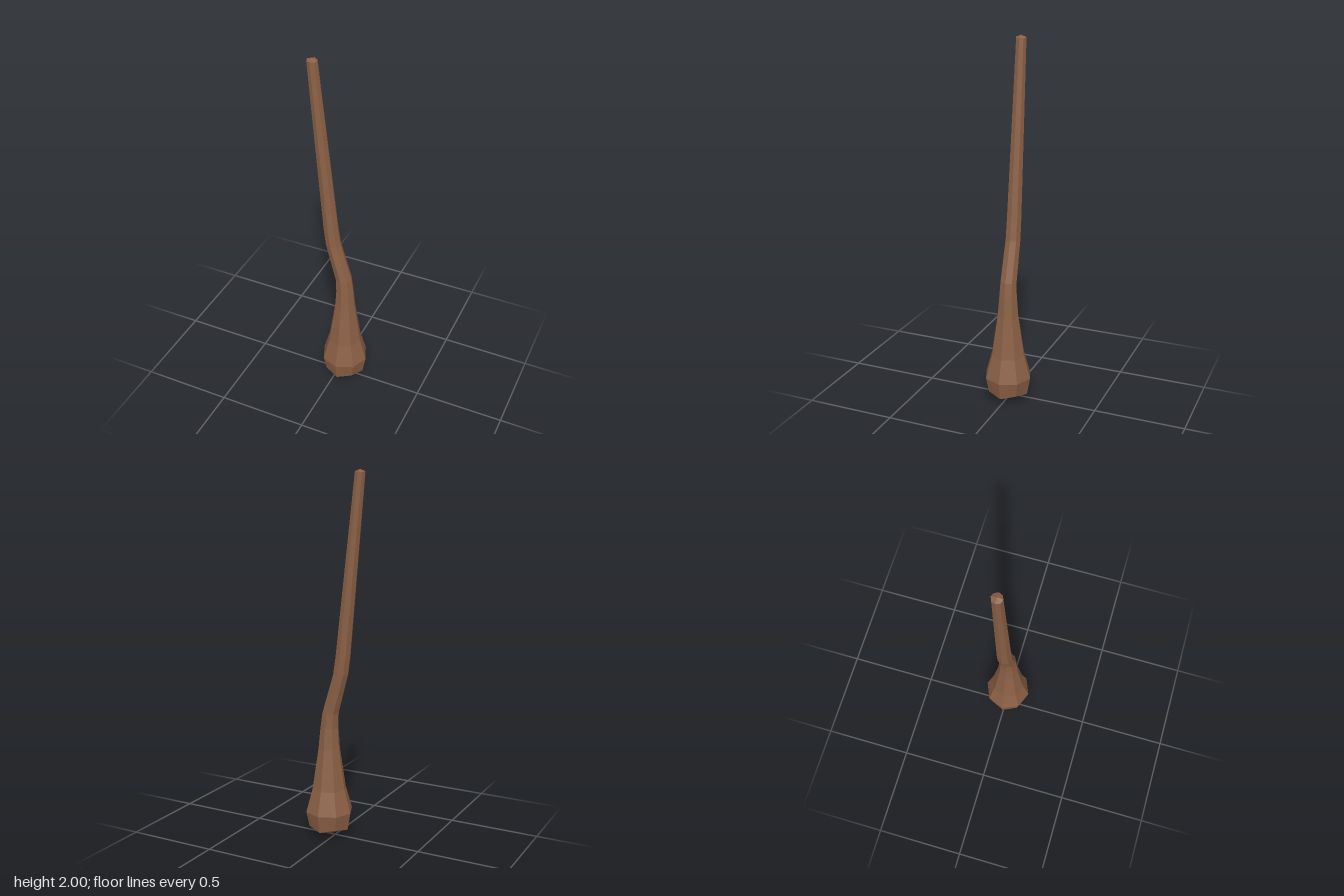
import * as THREE from 'three';

// Cross-sections from bottom to top: height, centre x, radius, extra height of the diagonal corners
const RINGS = [
  [0, 0.038, 0, 0],
  [0.042, 0.038, 0.115, 0.016],
  [0.14, 0.038, 0.132, 0],
  [0.27, 0.038, 0.096, 0],
  [0.5, 0.038, 0.061, 0],
  [0.62, 0.036, 0.051, 0],
  [0.7, 0.029, 0.047, 0],
  [0.92, -0.033, 0.043, 0],
  [1.02, -0.047, 0.042, 0],
  [1.99, -0.143, 0.029, -0.005],
  [2, -0.143, 0, 0],
];
const SIDES = 8;

// Eight-sided skin through the cross-sections; the end rings close to a point
function loft(rings) {
  const positions = [];
  const index = [];
  for (const [y, cx, r, lift] of rings) {
    for (let i = 0; i < SIDES; i++) {
      const a = (i / SIDES) * Math.PI * 2;
      positions.push(cx + r * Math.cos(a), y + (i % 2 ? lift : 0), r * Math.sin(a));
    }
  }
  for (let k = 0; k < rings.length - 1; k++) {
    for (let i = 0; i < SIDES; i++) {
      const j = (i + 1) % SIDES;
      const a = k * SIDES + i, b = k * SIDES + j;
      const c = a + SIDES, d = b + SIDES;
      if (rings[k + 1][2] > 0) index.push(a, c, d);
      if (rings[k][2] > 0) index.push(a, rings[k + 1][2] > 0 ? d : c, b);
    }
  }
  const geometry = new THREE.BufferGeometry();
  geometry.setAttribute('position', new THREE.Float32BufferAttribute(positions, 3));
  geometry.setIndex(index);
  const flat = geometry.toNonIndexed();
  flat.computeVertexNormals();
  return flat;
}

export function createModel() {
  const group = new THREE.Group();
  group.name = 'woodenClub';
  const wood = new THREE.MeshStandardMaterial({ color: 0x8b6045, flatShading: true });

  // Heavy head, bent neck and long tapering handle in one piece
  const club = new THREE.Mesh(loft(RINGS), wood);
  club.name = 'clubBody';
  group.add(club);
  return group;
}
